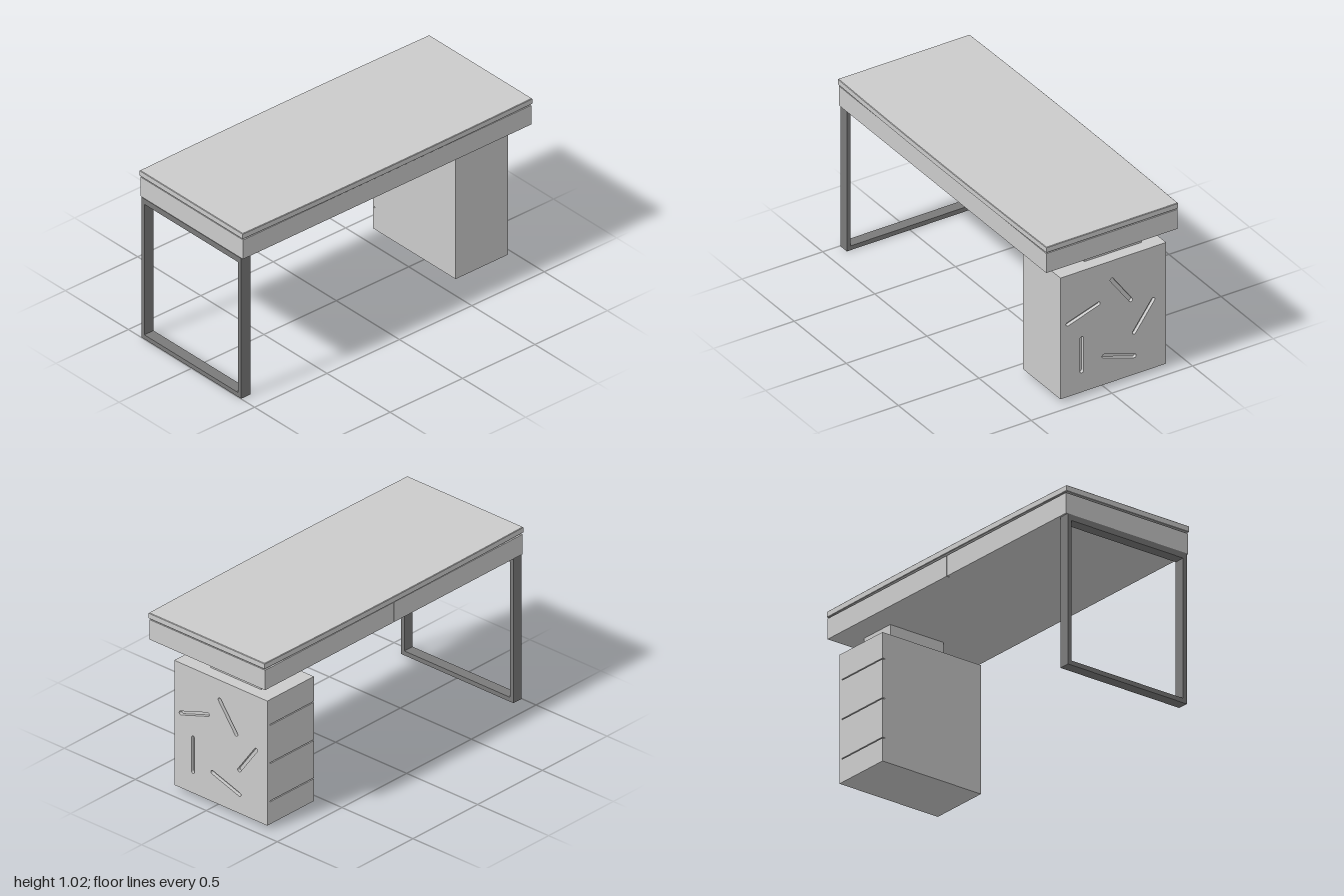
import * as THREE from 'three';

const grey = new THREE.MeshStandardMaterial({ color: 0xcccccc, flatShading: true });
const darkGrey = new THREE.MeshStandardMaterial({ color: 0x7a7a7a, flatShading: true });

export function createModel() {
  const desk = new THREE.Group();
  desk.name = 'desk';

  const add = (name, geometry, material = grey) => {
    const mesh = new THREE.Mesh(geometry, material);
    mesh.name = name;
    desk.add(mesh);
    return mesh;
  };
  // box given by its limits on each axis
  const box = (name, x0, x1, y0, y1, z0, z1) => {
    const mesh = add(name, new THREE.BoxGeometry(x1 - x0, y1 - y0, z1 - z0));
    mesh.position.set((x0 + x1) / 2, (y0 + y1) / 2, (z0 + z1) / 2);
    return mesh;
  };
  const rectangle = (Kind, x0, x1, y0, y1) => new Kind([
    new THREE.Vector2(x0, y0), new THREE.Vector2(x1, y0),
    new THREE.Vector2(x1, y1), new THREE.Vector2(x0, y1),
  ]);

  // table top with slightly bowed long edges
  const outline = new THREE.Shape();
  outline.moveTo(-0.411, -1);
  outline.lineTo(0.406, -1);
  outline.quadraticCurveTo(0.424, 0, 0.406, 1);
  outline.lineTo(-0.411, 1);
  outline.quadraticCurveTo(-0.429, 0, -0.411, -1);
  const bevel = 0.003;
  const top = add('tableTop', new THREE.ExtrudeGeometry(outline, {
    depth: 0.035 - 2 * bevel, curveSegments: 8,
    bevelSize: bevel, bevelThickness: bevel, bevelOffset: -bevel, bevelSegments: 1,
  }));
  top.rotation.x = -Math.PI / 2;
  top.position.y = 0.99 + bevel;

  // recessed spacer under the top, and the apron
  box('topSpacer', -0.38, 0.385, 0.982, 0.991, -0.97, 0.97);
  box('apron', -0.395, 0.403, 0.865, 0.983, -0.995, 0.995);

  // two wide drawer fronts along the apron
  for (const side of [-1, 1]) {
    const [near, far] = [side * 0.003, side * 0.995];
    box('apronDrawer', -0.41, -0.395, 0.865, 0.983, Math.min(near, far), Math.max(near, far));
  }

  // square loop leg
  const loop = rectangle(THREE.Shape, -0.4, 0.392, 0, 0.865);
  loop.holes.push(rectangle(THREE.Path, -0.376, 0.368, 0.026, 0.831));
  const leg = add('legFrame', new THREE.ExtrudeGeometry(loop, { depth: 0.063, bevelEnabled: false }), darkGrey);
  leg.position.z = 0.935;

  // cabinet and the neck that joins it to the apron
  box('cabinetNeck', -0.268, 0.087, 0.765, 0.865, -0.87, -0.65);
  box('cabinetBody', -0.36, 0.28, 0.025, 0.765, -0.92, -0.58);

  // cabinet drawer fronts, split by narrow gaps
  const splits = [0.025, 0.16, 0.387, 0.614, 0.765];
  const gap = 0.003;
  for (let i = 0; i < 4; i++) {
    box('cabinetDrawer', -0.375, -0.36,
      splits[i] + (i > 0 ? gap : 0), splits[i + 1] - (i < 3 ? gap : 0), -0.92, -0.58);
  }

  // back panel with a pinwheel of five round-ended slots
  const panel = rectangle(THREE.Shape, -0.375, 0.28, 0.025, 0.765);
  const slotRadius = 0.011;
  const halfLength = 0.1;
  for (let i = 0; i < 5; i++) {
    const around = THREE.MathUtils.degToRad(38 + 72 * i);
    const angle = around + THREE.MathUtils.degToRad(124);
    const cx = -0.026 + 0.21 * Math.cos(around);
    const cy = 0.37 + 0.21 * Math.sin(around);
    const dx = halfLength * Math.cos(angle);
    const dy = halfLength * Math.sin(angle);
    const slot = new THREE.Path();
    slot.absarc(cx + dx, cy + dy, slotRadius, angle - Math.PI / 2, angle + Math.PI / 2, false);
    slot.absarc(cx - dx, cy - dy, slotRadius, angle + Math.PI / 2, angle + Math.PI * 1.5, false);
    panel.holes.push(slot);
  }
  const back = add('cabinetBackPanel', new THREE.ExtrudeGeometry(panel, {
    depth: 0.02, bevelEnabled: false, curveSegments: 6,
  }));
  back.position.z = -0.94;

  return desk;
}
